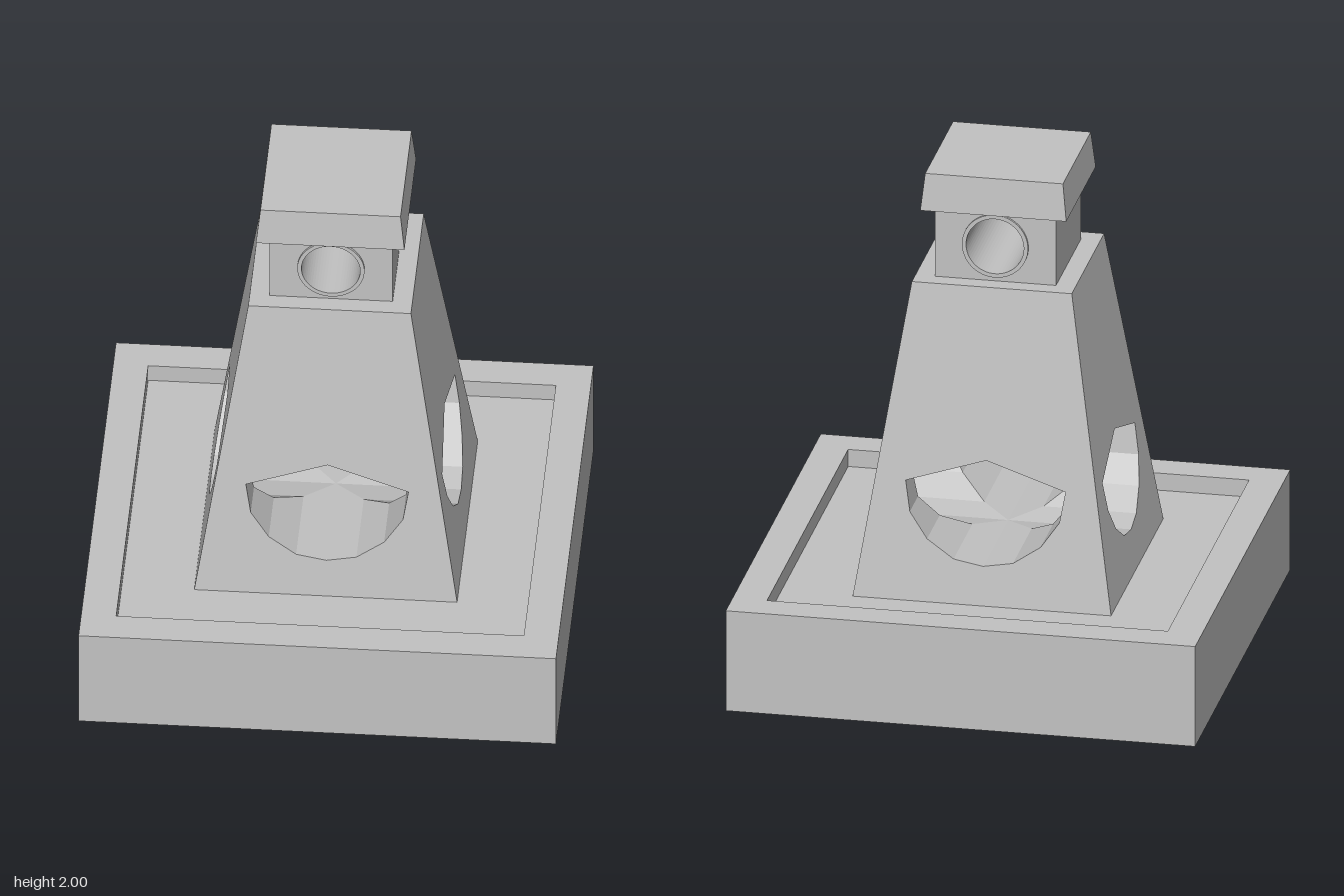
import * as THREE from 'three';

const stone = new THREE.MeshStandardMaterial({ color: 0xc2c2c2 });
stone.name = 'grey stone';

const FLOOR = 0.34, TOP = 1.57;
// half width of the tapering tower at height y
const half = (y) => THREE.MathUtils.mapLinear(y, FLOOR, TOP, 0.501, 0.31);

// right half of the arch opening, from apex to lowest point
const ARCH = [[0, 0.902], [0.31, 0.803], [0.29, 0.683], [0.22, 0.583], [0.115, 0.513], [0, 0.493]];

function part(name, geometry, parent, x = 0, y = 0, z = 0) {
  const mesh = new THREE.Mesh(geometry, stone);
  mesh.name = name;
  mesh.position.set(x, y, z);
  parent.add(mesh);
  return mesh;
}

function square(h) {
  return [[-h, -h], [h, -h], [h, h], [-h, h]].map(([x, y]) => new THREE.Vector2(x, y));
}

// sloping tower wall with the arch cut out
function wallGeometry() {
  const b = half(FLOOR), t = half(TOP);
  const shape = new THREE.Shape([[-b, FLOOR], [b, FLOOR], [t, TOP], [-t, TOP]].map((p) => new THREE.Vector2(...p)));
  const left = ARCH.slice(1, -1).reverse().map(([x, y]) => [-x, y]);
  shape.holes.push(new THREE.Path([...ARCH, ...left].map((p) => new THREE.Vector2(...p))));
  const geo = new THREE.ShapeGeometry(shape);
  const pos = geo.attributes.position;
  for (let i = 0; i < pos.count; i++) pos.setZ(i, half(pos.getY(i)));
  geo.computeVertexNormals();
  return geo;
}

// tunnel lining from the wall inward to the diagonal where the tunnels meet
function tunnelGeometry() {
  const v = [];
  for (const s of [1, -1]) {
    for (let i = 0; i < ARCH.length - 1; i++) {
      const [[x0, y0], [x1, y1]] = [ARCH[i], ARCH[i + 1]];
      const a = [s * x0, y0, half(y0)], b = [s * x1, y1, half(y1)];
      const c = [s * x1, y1, x1], d = [s * x0, y0, x0];
      const quad = s > 0 ? [a, c, b, a, d, c] : [a, b, c, a, c, d];
      v.push(...quad.flat());
    }
  }
  const geo = new THREE.BufferGeometry();
  geo.setAttribute('position', new THREE.Float32BufferAttribute(v, 3));
  geo.computeVertexNormals();
  return geo;
}

// four-sided tapered block, sides aligned to the axes
function taperedBlock(bottom, top, height) {
  const geo = new THREE.CylinderGeometry(top * Math.SQRT2, bottom * Math.SQRT2, height, 4).toNonIndexed();
  geo.rotateY(Math.PI / 4);
  geo.computeVertexNormals();
  return geo;
}

export function createModel() {
  const model = new THREE.Group();
  model.name = 'towerOnPlinth';

  // plinth: solid slab with a raised rim around a sunken floor
  part('plinthSlab', new THREE.BoxGeometry(1.82, FLOOR, 1.82), model, 0, FLOOR / 2);
  const rim = new THREE.Shape(square(0.91));
  rim.holes.push(new THREE.Path(square(0.777)));
  const rimGeo = new THREE.ExtrudeGeometry(rim, { depth: 0.41 - FLOOR, bevelEnabled: false });
  rimGeo.rotateX(-Math.PI / 2);
  part('plinthRim', rimGeo, model, 0, FLOOR);

  // tower: four walls with crossing tunnels
  const wall = wallGeometry(), tunnel = tunnelGeometry();
  for (let i = 0; i < 4; i++) {
    const side = new THREE.Group();
    side.name = 'towerSide';
    part('towerWall', wall, side);
    part('archTunnel', tunnel, side);
    side.rotation.y = i * Math.PI / 2;
    model.add(side);
  }
  const ledge = new THREE.PlaneGeometry(0.62, 0.62);
  ledge.rotateX(-Math.PI / 2);
  part('towerLedge', ledge, model, 0, TOP);

  // small pendant under the vault
  part('vaultPendant', taperedBlock(0.07, 0.115, 0.05), model, 0, 0.835);
  part('pendantNeck', new THREE.BoxGeometry(0.23, 0.04, 0.23), model, 0, 0.88);

  // neck with a round opening from front to back
  const NECK_Y = 1.715;
  const neck = new THREE.Shape([[-0.235, TOP], [0.235, TOP], [0.235, 1.855], [-0.235, 1.855]]
    .map(([x, y]) => new THREE.Vector2(x, y - NECK_Y)));
  neck.holes.push(new THREE.Path().absarc(0, 0, 0.12, 0, Math.PI * 2, true));
  const neckGeo = new THREE.ExtrudeGeometry(neck, { depth: 0.48, bevelEnabled: false, curveSegments: 32 });
  part('neck', neckGeo, model, 0, NECK_Y, -0.24);

  // pipe lining the opening, slightly proud at both ends
  const pipe = new THREE.Shape().absarc(0, 0, 0.128, 0, Math.PI * 2, false);
  pipe.holes.push(new THREE.Path().absarc(0, 0, 0.112, 0, Math.PI * 2, true));
  const pipeGeo = new THREE.ExtrudeGeometry(pipe, { depth: 0.5, bevelEnabled: false, curveSegments: 32 });
  part('neckPipe', pipeGeo, model, 0, NECK_Y, -0.25);

  // cap
  part('cap', taperedBlock(0.283, 0.267, 0.147), model, 0, 1.9265);
  return model;
}
